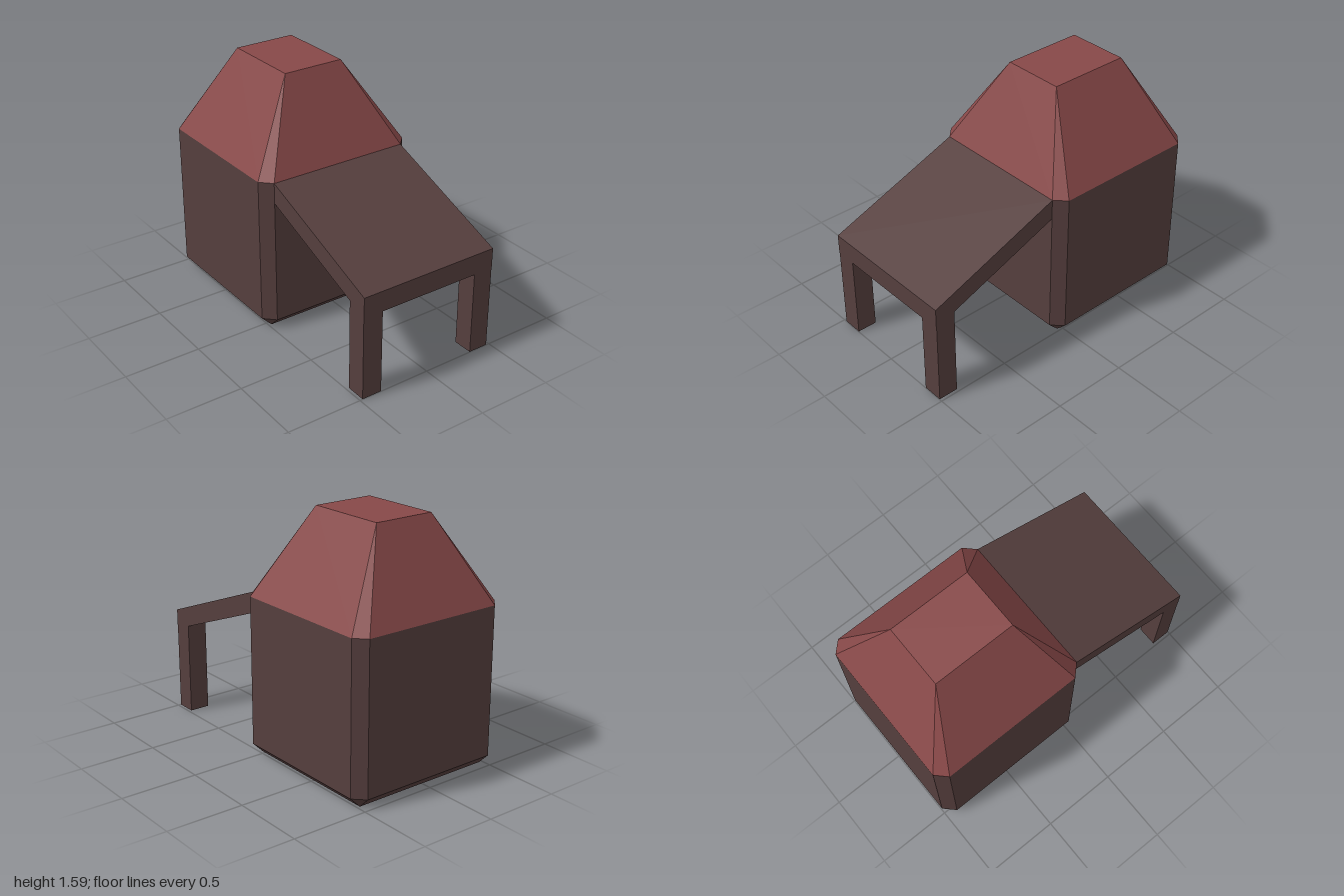
import * as THREE from 'three';

// Rectangle with cut corners at height y: half sizes hx, hz and corner cut c
function ring(y, hx, hz, c) {
  return [
    [hx, hz - c], [hx - c, hz], [c - hx, hz], [-hx, hz - c],
    [-hx, c - hz], [c - hx, -hz], [hx - c, -hz], [hx, c - hz],
  ].map(([x, z]) => new THREE.Vector3(x, y, z));
}

// Faceted skin through the rings, bottom to top, with optional end caps
function loft(rings, capBottom, capTop) {
  const points = [];
  const tri = (a, b, c) => {
    const area = new THREE.Triangle(a, b, c).getArea();
    if (area > 1e-6) points.push(a, b, c);
  };
  for (let r = 0; r < rings.length - 1; r++) {
    const lo = rings[r], hi = rings[r + 1];
    for (let i = 0; i < 8; i++) {
      const j = (i + 1) % 8;
      tri(lo[i], hi[i], hi[j]);
      tri(lo[i], hi[j], lo[j]);
    }
  }
  const bottom = rings[0], top = rings[rings.length - 1];
  for (let i = 1; i < 7; i++) {
    if (capBottom) tri(bottom[0], bottom[i], bottom[i + 1]);
    if (capTop) tri(top[0], top[i + 1], top[i]);
  }
  const geometry = new THREE.BufferGeometry().setFromPoints(points);
  geometry.computeVertexNormals();
  return geometry;
}

// Side outline in x and y, extruded from z0 to z1
function prism(outline, z0, z1) {
  const shape = new THREE.Shape(outline.map(([x, y]) => new THREE.Vector2(x, y)));
  const geometry = new THREE.ExtrudeGeometry(shape, { depth: z1 - z0, bevelEnabled: false });
  return geometry.translate(0, 0, z0);
}

export function createModel() {
  const model = new THREE.Group();
  model.name = 'house';
  const wallBrown = new THREE.MeshStandardMaterial({ color: 0x553e3d });
  wallBrown.name = 'wallBrown';
  const roofRed = new THREE.MeshStandardMaterial({ color: 0x874848 });
  roofRed.name = 'roofRed';

  const add = (name, geometry, material, x = 0) => {
    const mesh = new THREE.Mesh(geometry, material);
    mesh.name = name;
    mesh.position.x = x;
    model.add(mesh);
  };

  // House block with bevelled foot and corners, and the hipped roof above
  const eaves = ring(1.035, 0.55, 0.55, 0.07);
  add('walls', loft([ring(0, 0.48, 0.48, 0), ring(0.07, 0.55, 0.55, 0.07), eaves], true, false), wallBrown, -0.45);
  add('roof', loft([eaves, ring(1.585, 0.275, 0.207, 0)], false, true), roofRed, -0.45);

  // Sloping porch canopy
  add('canopy', prism([[0.1, 0.9], [1, 0.555], [1, 0.69], [0.1, 1.035]], -0.48, 0.48), wallBrown);

  // Porch posts, cut to the slope of the canopy
  const post = [[0.865, 0], [0.998, 0], [0.998, 0.556], [0.865, 0.607]];
  add('leftFrontPost', prism(post, 0.345, 0.48), wallBrown);
  add('leftBackPost', prism(post, -0.48, -0.345), wallBrown);

  return model;
}
